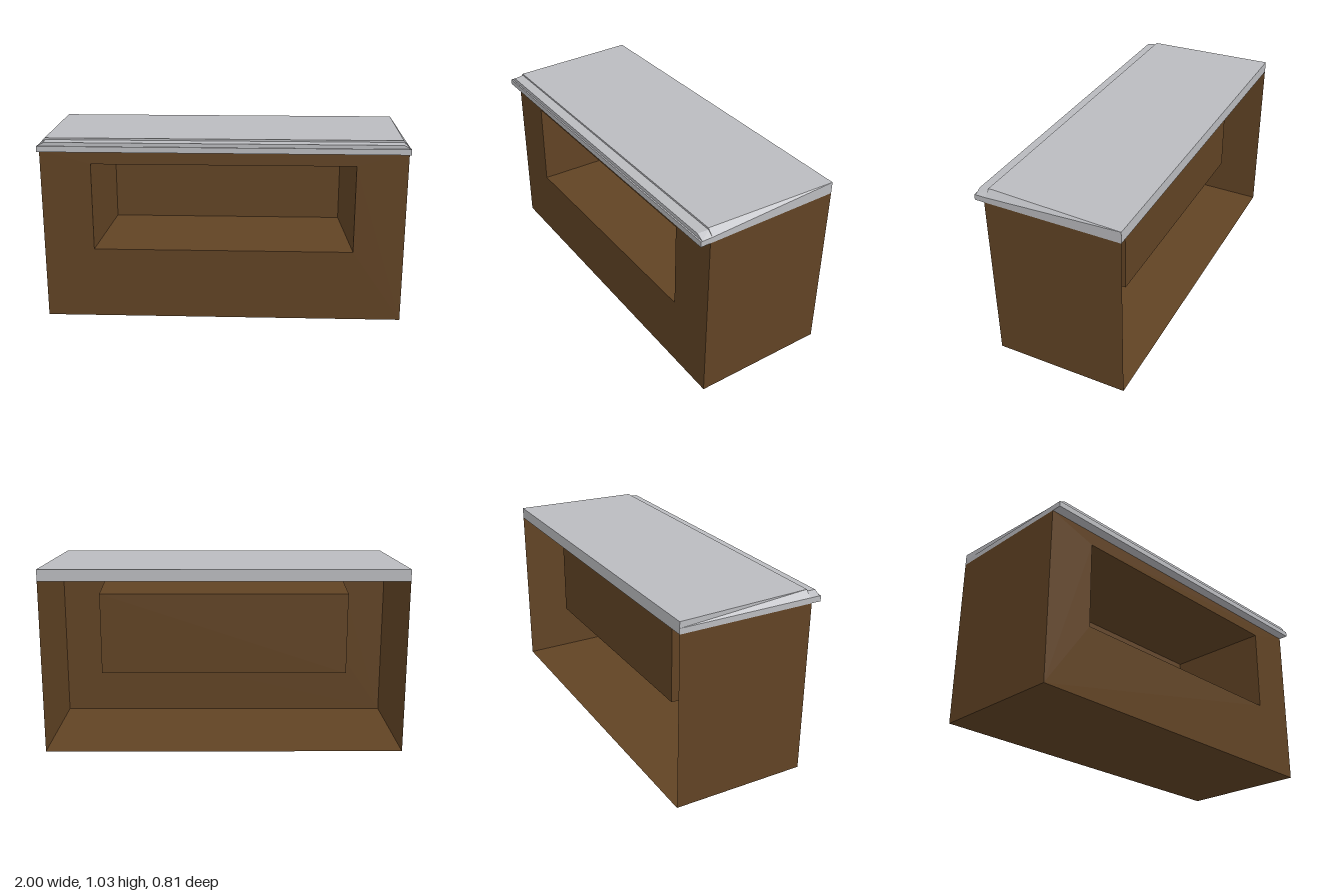
import * as THREE from 'three';

const wood = new THREE.MeshStandardMaterial({ color: 0x614324, side: THREE.DoubleSide });
wood.name = 'brownWood';
const stone = new THREE.MeshStandardMaterial({ color: 0xbabbbf, side: THREE.DoubleSide });
stone.name = 'greyWorktop';

// Joins loops of equal length with flat, separate quads.
function loft(loops, closed) {
  const pos = [];
  for (let i = 0; i + 1 < loops.length; i++) {
    const a = loops[i], b = loops[i + 1], n = a.length;
    for (let j = 0; j < (closed ? n : n - 1); j++) {
      const k = (j + 1) % n;
      pos.push(...a[j], ...a[k], ...b[k], ...a[j], ...b[k], ...b[j]);
    }
  }
  const g = new THREE.BufferGeometry();
  g.setAttribute('position', new THREE.Float32BufferAttribute(pos, 3));
  g.computeVertexNormals();
  return g;
}

// Counter-clockwise rectangle facing +z.
const rect = (x, y0, y1, z) => [[-x, y0, z], [x, y0, z], [x, y1, z], [-x, y1, z]];

export function createModel() {
  const model = new THREE.Group();
  model.name = 'counter';
  const add = (name, geometry, material) => {
    const m = new THREE.Mesh(geometry, material);
    m.name = name;
    model.add(m);
    return m;
  };

  const H = 0.965, BACK = -0.405, FRONT = 0.35;
  const depth = FRONT - BACK, midZ = (FRONT + BACK) / 2;

  // Front panel with the serving opening
  const panel = new THREE.Shape(rect(1, 0, H, 0).map(([x, y]) => new THREE.Vector2(x, y)));
  panel.holes.push(new THREE.Path(rect(0.722, 0.4, 0.888, 0).map(([x, y]) => new THREE.Vector2(x, y)).reverse()));
  add('frontPanel', new THREE.ShapeGeometry(panel), wood).position.z = FRONT;

  // Side panels and floor; the back stays open
  for (const s of [1, -1]) {
    const side = add(s > 0 ? 'leftPanel' : 'rightPanel', new THREE.PlaneGeometry(depth, H), wood);
    side.position.set(s, H / 2, midZ);
    side.rotation.y = s * Math.PI / 2;
  }
  const floor = add('floor', new THREE.PlaneGeometry(2, depth), wood);
  floor.position.z = midZ;
  floor.rotation.x = Math.PI / 2;

  // Tapered recess behind the opening
  const inner = rect(0.69, 0.416, 0.872, -0.265);
  add('recessWalls', loft([rect(0.722, 0.4, 0.888, FRONT), inner], true), wood);
  add('recessBack', loft([[inner[0], inner[1]], [inner[3], inner[2]]], false), wood);

  // Hollow worktop: cross-sections from the back to the stepped front edge
  const RIM = 0.996;
  const section = (z, w, h) => [[1, H, z], [1, RIM, z], [w, h, z], [-w, h, z], [-1, RIM, z], [-1, H, z]];
  add('worktop', loft([
    section(BACK, 1, 1.03),
    section(0.34, 0.967, 1.03),
    section(0.34, 0.967, 1.02),
    section(0.397, 0.96, 1.016),
  ].reverse(), false), stone);

  // Back edge of the worktop
  add('worktopBackEdge', loft([[[1, H, BACK], [-1, H, BACK]], [[1, 1.03, BACK], [-1, 1.03, BACK]]], false), stone);

  // Front edge: upper face, small ledge, lower lip and its underside
  const row = (x, y, z) => [[-x, y, z], [x, y, z]];
  add('worktopFrontEdge', loft([
    row(1, H, FRONT),
    row(1, H, 0.405),
    row(1, RIM, 0.405),
    row(1, RIM, 0.397),
    row(0.96, 1.016, 0.397),
  ], false), stone);

  // Ends of the lower lip
  for (const s of [1, -1]) {
    const end = add('lipEnd', new THREE.PlaneGeometry(0.008, RIM - H), stone);
    end.position.set(s, (RIM + H) / 2, 0.401);
    end.rotation.y = s * Math.PI / 2;
  }
  return model;
}
